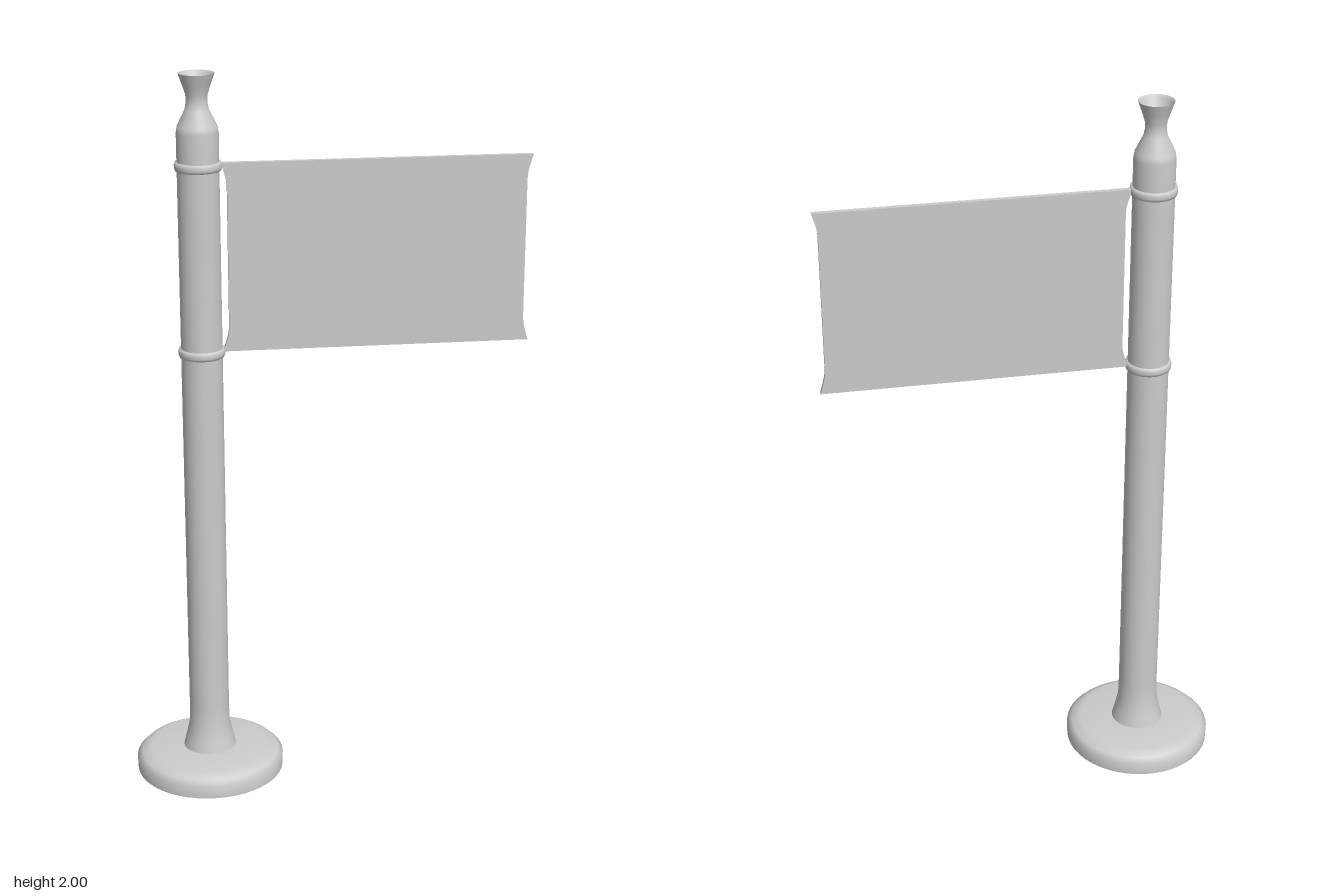
import * as THREE from 'three';

const POLE_X = -0.346;
const material = new THREE.MeshStandardMaterial({ color: 0xcccccc });

export function createModel() {
  const group = new THREE.Group();

  const add = (name, geometry, x = 0, y = 0) => {
    const mesh = new THREE.Mesh(geometry, material);
    mesh.name = name;
    mesh.position.set(x, y, 0);
    group.add(mesh);
  };
  // Turned part on the pole axis; profile is [radius, height] from bottom to top
  const turned = (name, profile, y = 0) => add(name,
    new THREE.LatheGeometry(profile.map(([r, h]) => new THREE.Vector2(r, h)), 48), POLE_X, y);

  // Heavy round foot: flat underside, then bevelled rim
  turned('baseUnderside', [[0, 0], [0.208, 0]]);
  turned('base', [[0.208, 0], [0.209, 0.036], [0.195, 0.05], [0.168, 0.065], [0.07, 0.067]]);

  // Post with flared bottom
  turned('post', [[0.075, 0.064], [0.066, 0.1], [0.057, 0.142], [0.056, 0.2], [0.056, 1.78]]);

  // Finial with narrow neck and hollow cup on top
  turned('finial', [
    [0.056, 1.77], [0.056, 1.845], [0.053, 1.862], [0.032, 1.905], [0.028, 1.925],
    [0.029, 1.945], [0.038, 1.972], [0.048, 2.0],
  ]);
  turned('finialCup', [[0.048, 2.0], [0.042, 1.995], [0.03, 1.968], [0.015, 1.955], [0, 1.952]]);

  // Collars that hold the banner
  for (const y of [1.248, 1.757]) {
    turned('collar', [[0.055, -0.012], [0.061, -0.011], [0.063, -0.004], [0.063, 0.004],
      [0.061, 0.011], [0.055, 0.012]], y);
  }

  // Banner panel, its side edges curving out at the corners
  const [top, bottom] = [1.764, 1.248];
  const shape = new THREE.Shape();
  shape.moveTo(-0.288, bottom);
  shape.lineTo(0.549, bottom);
  shape.quadraticCurveTo(0.535, 1.29, 0.534, 1.312);
  shape.lineTo(0.534, 1.7);
  shape.quadraticCurveTo(0.535, 1.722, 0.549, top);
  shape.lineTo(-0.288, top);
  shape.quadraticCurveTo(-0.272, 1.722, -0.271, 1.7);
  shape.lineTo(-0.271, 1.312);
  shape.quadraticCurveTo(-0.272, 1.29, -0.288, bottom);
  const panel = new THREE.ExtrudeGeometry(shape, { depth: 0.014, bevelEnabled: false, curveSegments: 6 });
  panel.translate(0, 0, -0.007);
  add('banner', panel);

  return group;
}
